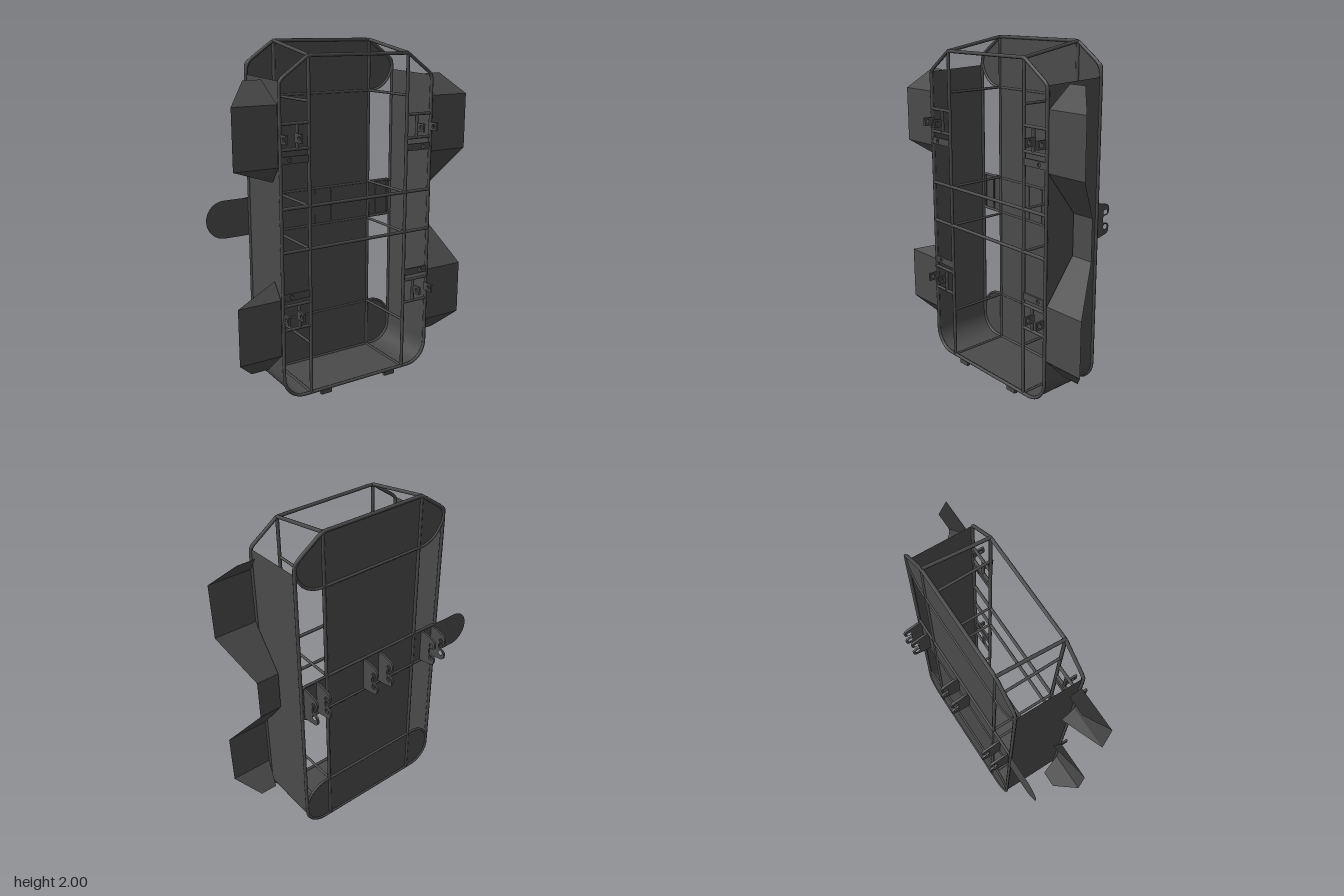
import * as THREE from 'three';

const V = (x, y, z) => new THREE.Vector3(x, y, z);
const FRONT = 0.222, BACK = -0.166, X = 0.492, RAIL = 0.32;

// Polygon with filleted corners from [x, y, radius] entries
function roundPoly(list, Type = THREE.Shape) {
  const s = new Type(), n = list.length;
  list.forEach(([x, y, r = 0], i) => {
    const p = new THREE.Vector2(x, y);
    const toward = (q, d) => new THREE.Vector2(q[0], q[1]).sub(p).setLength(d).add(p);
    const prev = list[(i + n - 1) % n], next = list[(i + 1) % n];
    const a = toward(prev, r), b = toward(next, r);
    if (i) s.lineTo(a.x, a.y); else s.moveTo(a.x, a.y);
    if (r) {
      const c = toward(prev, r * 0.45), d = toward(next, r * 0.45);
      s.bezierCurveTo(c.x, c.y, d.x, d.y, b.x, b.y);
    }
  });
  s.closePath();
  return s;
}

// Symmetric outline: right half given from bottom to top
const mirrored = (half) =>
  roundPoly([...half, ...half.map(([x, y, r]) => [-x, y, r]).reverse()]);

export function createModel() {
  const model = new THREE.Group();
  const mat = new THREE.MeshStandardMaterial({ color: 0x4a4a4a });
  const sheet = new THREE.MeshStandardMaterial({ color: 0x4a4a4a, side: THREE.DoubleSide, flatShading: true });

  const add = (name, geo, m = mat, parent = model) => {
    const mesh = new THREE.Mesh(geo, m);
    mesh.name = name;
    parent.add(mesh);
    return mesh;
  };
  const bar = (name, a, b, r = 0.01) => {
    const mesh = add(name, new THREE.CylinderGeometry(r, r, a.distanceTo(b), 8));
    mesh.position.copy(a).add(b).multiplyScalar(0.5);
    mesh.quaternion.setFromUnitVectors(V(0, 1, 0), b.clone().sub(a).normalize());
  };
  const hoop = (name, shape, z, r = 0.01) => {
    const pts = shape.getSpacedPoints(160).slice(0, -1).map((p) => V(p.x, p.y, z));
    add(name, new THREE.TubeGeometry(new THREE.CatmullRomCurve3(pts, true), 320, r, 8, true));
  };
  // Sheet strip between two rows of points
  const strip = (name, rowA, rowB) => {
    const idx = [], n = rowA.length;
    for (let i = 0; i < n - 1; i++) idx.push(i, i + 1, n + i, i + 1, n + i + 1, n + i);
    const geo = new THREE.BufferGeometry().setFromPoints([...rowA, ...rowB]);
    geo.setIndex(idx);
    geo.computeVertexNormals();
    add(name, geo, sheet);
  };
  // Plate standing in the depth/height plane (shape x runs to the back)
  const uprightPlate = (name, shape, x, y) => {
    const geo = new THREE.ExtrudeGeometry(shape, { depth: 0.012, bevelEnabled: false, curveSegments: 8 });
    geo.translate(0, 0, -0.006).rotateY(Math.PI / 2);
    add(name, geo).position.set(x, y, 0);
  };
  const hole = (x, y, r) => new THREE.Path().absarc(x, y, r, 0, Math.PI * 2, true);

  // Front and back hoops
  hoop('frontHoop', mirrored([[X, 0.03, 0.13], [X, 1.8, 0.02], [RAIL, 1.922, 0.01]]), FRONT);
  hoop('backHoop', mirrored([[X, 0.03, 0.13], [X, 1.87, 0.04], [RAIL, 1.99, 0.02]]), BACK);

  // Side walls and floor as one bent sheet
  const wall = new THREE.Path();
  wall.moveTo(-X, 1.805);
  wall.lineTo(-X, 0.16);
  wall.absarc(-X + 0.13, 0.16, 0.13, Math.PI, Math.PI * 1.5, false);
  wall.absarc(X - 0.13, 0.16, 0.13, Math.PI * 1.5, Math.PI * 2, false);
  wall.lineTo(X, 1.805);
  const wallPts = wall.getPoints(8);
  strip('wallAndFloor',
    wallPts.map((p) => V(p.x, p.y > 1 ? 1.797 : p.y, FRONT)),
    wallPts.map((p) => V(p.x, p.y > 1 ? 1.812 : p.y, BACK)));

  // Back panels: centre sheet plus three cross bands with tube edging
  const centre = add('backCentrePanel', new THREE.PlaneGeometry(RAIL * 2, 1.96), sheet);
  centre.position.set(0, 1.01, BACK + 0.002);
  const bands = {
    lowerBand: [[X, 0.03, 0.13], [X, 0.335, 0.15]],
    middleBand: [[X, 0.9, 0.03], [X, 1.125, 0.03]],
    upperBand: [[X, 1.69, 0.16], [X, 1.87, 0.015], [RAIL, 1.99, 0.01]],
  };
  for (const [name, half] of Object.entries(bands)) {
    const shape = mirrored(half);
    add(name + 'Panel', new THREE.ShapeGeometry(shape, 10), sheet).position.z = BACK - 0.002;
    hoop(name + 'Edge', shape, BACK - 0.002, 0.008);
  }

  // Cross bars at the front
  for (const y of [0.89, 1.13]) bar('frontCrossBar', V(-X, y, FRONT), V(X, y, FRONT));

  for (const s of [-1, 1]) {
    // Upright rails and the struts joining front to back
    bar('frontRail', V(s * RAIL, 0.03, FRONT), V(s * RAIL, 1.922, FRONT));
    bar('backRail', V(s * RAIL, 0.03, BACK), V(s * RAIL, 1.99, BACK));
    bar('topStrut', V(s * RAIL, 1.922, FRONT), V(s * RAIL, 1.99, BACK));
    for (const y of [0.03, 0.335, 0.89, 1.13, 1.69])
      bar('depthStrut', V(s * RAIL, y, FRONT), V(s * RAIL, y, BACK), 0.008);

    // Mounts between rail and hoop, one high and one low
    for (const [yA, yB, yPlate, yTab] of [[1.445, 1.58, 1.39, 1.505], [0.445, 0.585, 0.635, 0.522]]) {
      for (const y of [yA, yB]) bar('mountBar', V(s * RAIL, y, FRONT), V(s * X, y, FRONT), 0.009);
      bar('mountPost', V(s * 0.392, yA, FRONT), V(s * 0.392, yB, FRONT));
      const plate = roundPoly([[-0.08, -0.02], [0.08, -0.02], [0.08, 0.02], [-0.08, 0.02]]);
      plate.holes.push(hole(s * 0.035, 0, 0.012));
      add('mountPlate', new THREE.ExtrudeGeometry(plate, { depth: 0.012, bevelEnabled: false, curveSegments: 8 }))
        .position.set(s * 0.405, yPlate, FRONT - 0.006);
      const tab = roundPoly([[-0.286, -0.024], [-0.215, -0.024], [-0.215, 0.024], [-0.286, 0.024]]);
      tab.holes.push(hole(-0.262, 0, 0.013));
      for (const x of [0.397, 0.488]) uprightPlate('mountTab', tab, s * x, yTab);
    }

    // Feet
    add('foot', new THREE.BoxGeometry(0.07, 0.025, 0.02)).position.set(s * 0.222, 0.0125, FRONT);
  }

  // Forked hitch plates on the back
  const fork = [[0.286, 0.083, 0.022], [0.286, 0.024, 0.022], [0.24, 0.022, 0.012]];
  const hitch = roundPoly([[0.16, 0.102], [0.2, 0.102], ...fork,
    ...fork.map(([x, y, r]) => [x, -y, r]).reverse(), [0.2, -0.102], [0.16, -0.102]]);
  hitch.holes.push(hole(0.257, 0.043, 0.015), hole(0.257, -0.043, 0.015));
  for (const x of [-0.47, -0.387, -0.058, 0.054, 0.385, 0.47]) uprightPlate('hitchPlate', hitch, x, 1.0125);

  // Round-ended flap beside the middle band
  const flap = new THREE.Shape();
  flap.moveTo(-0.48, 0.902);
  flap.lineTo(-0.48, 1.122);
  flap.lineTo(-0.648, 1.122);
  flap.absarc(-0.648, 1.012, 0.11, Math.PI / 2, Math.PI * 1.5, false);
  add('sideFlap', new THREE.ShapeGeometry(flap, 12), sheet).position.z = BACK - 0.003;

  // Fenders from rows of [inner x, outer x, y, z]; the left pair is joined by a web
  const fender = (name, s, rows) => strip(name,
    rows.map(([a, , y, z]) => V(s * a, y, z)),
    rows.map(([, b, y, z]) => V(s * b, y, z)));
  const upper = [[0.535, 0.64, 1.8, 0.11], [0.503, 0.757, 1.68, 0.22], [0.503, 0.757, 1.355, 0.22]];
  const lower = [[0.503, 0.757, 0.625, 0.22], [0.503, 0.757, 0.3, 0.22], [0.535, 0.64, 0.18, 0.11]];
  const web = [[0.503, 0.64, 1.11, 0.03], [0.503, 0.64, 0.87, 0.03]];
  fender('leftFender', 1, [...upper, ...web, ...lower]);
  fender('rightUpperFender', -1, upper);
  fender('rightLowerFender', -1, lower);
  // Triangular returns of the right fenders
  for (const [y, tip] of [[1.355, 1.265], [0.625, 0.715]])
    strip('rightFenderReturn', [V(-0.503, y, 0.22), V(-0.503, tip, 0.15)],
      [V(-0.757, y, 0.22), V(-0.757, y, 0.22)]);

  return model;
}
